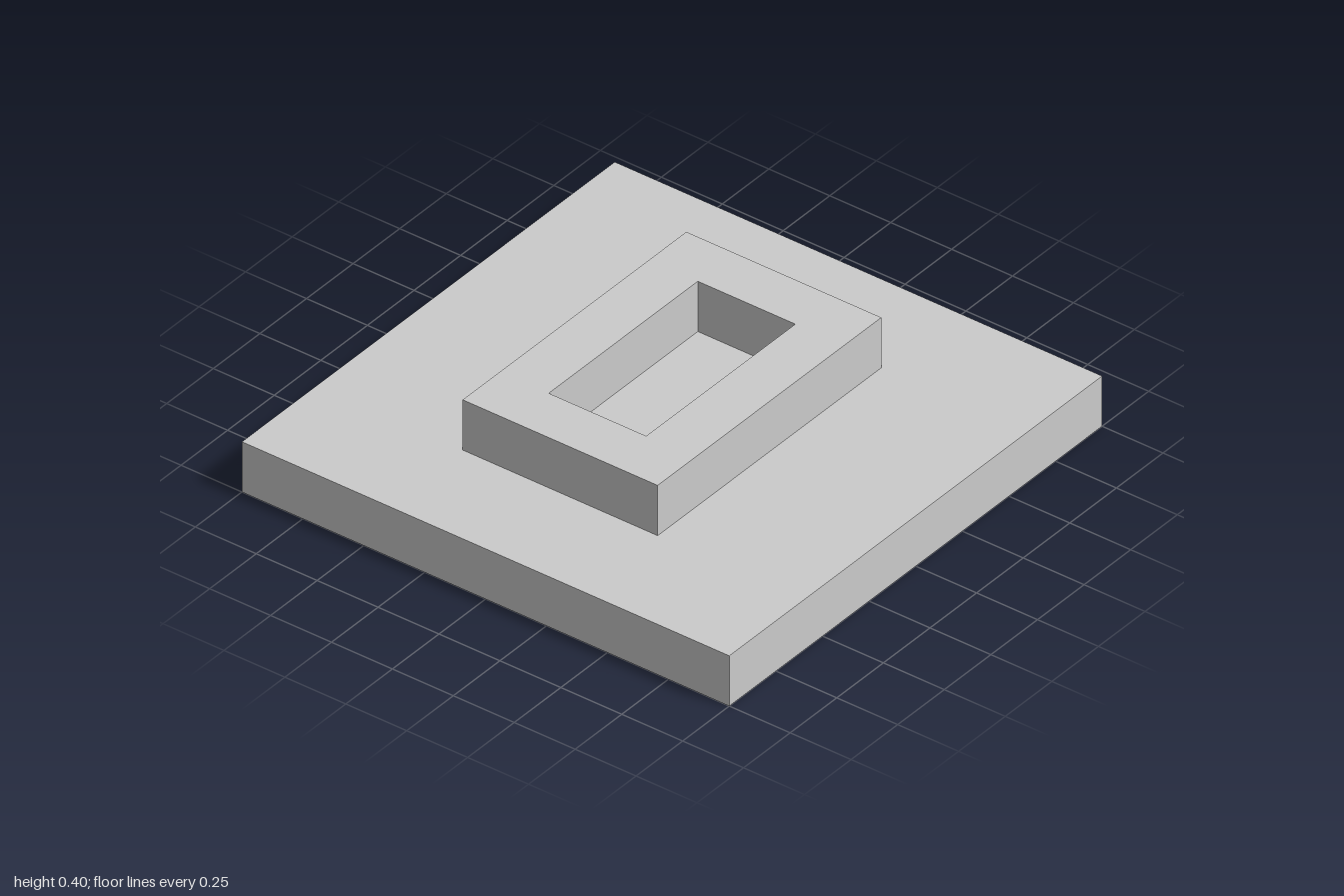
import * as THREE from 'three';

// Corner points of a rectangle centred on the origin
function rectangle(width, depth) {
  const x = width / 2, y = depth / 2;
  return [[-x, -y], [x, -y], [x, y], [-x, y]].map(([a, b]) => new THREE.Vector2(a, b));
}

export function createModel() {
  const group = new THREE.Group();
  group.name = 'steppedPlate';
  const material = new THREE.MeshStandardMaterial({ color: 0xcccccc, flatShading: true });

  // Square base plate
  const basePlate = new THREE.Mesh(new THREE.BoxGeometry(2, 0.2, 2), material);
  basePlate.name = 'basePlate';
  basePlate.position.y = 0.1;
  group.add(basePlate);

  // Raised rectangular frame, open down to the plate
  const outline = new THREE.Shape(rectangle(0.8, 1.2));
  outline.holes.push(new THREE.Path(rectangle(0.4, 0.8).reverse()));
  const frameGeometry = new THREE.ExtrudeGeometry(outline, { depth: 0.2, bevelEnabled: false });
  frameGeometry.rotateX(-Math.PI / 2);
  const raisedFrame = new THREE.Mesh(frameGeometry, material);
  raisedFrame.name = 'raisedFrame';
  raisedFrame.position.y = 0.2;
  group.add(raisedFrame);

  return group;
}
